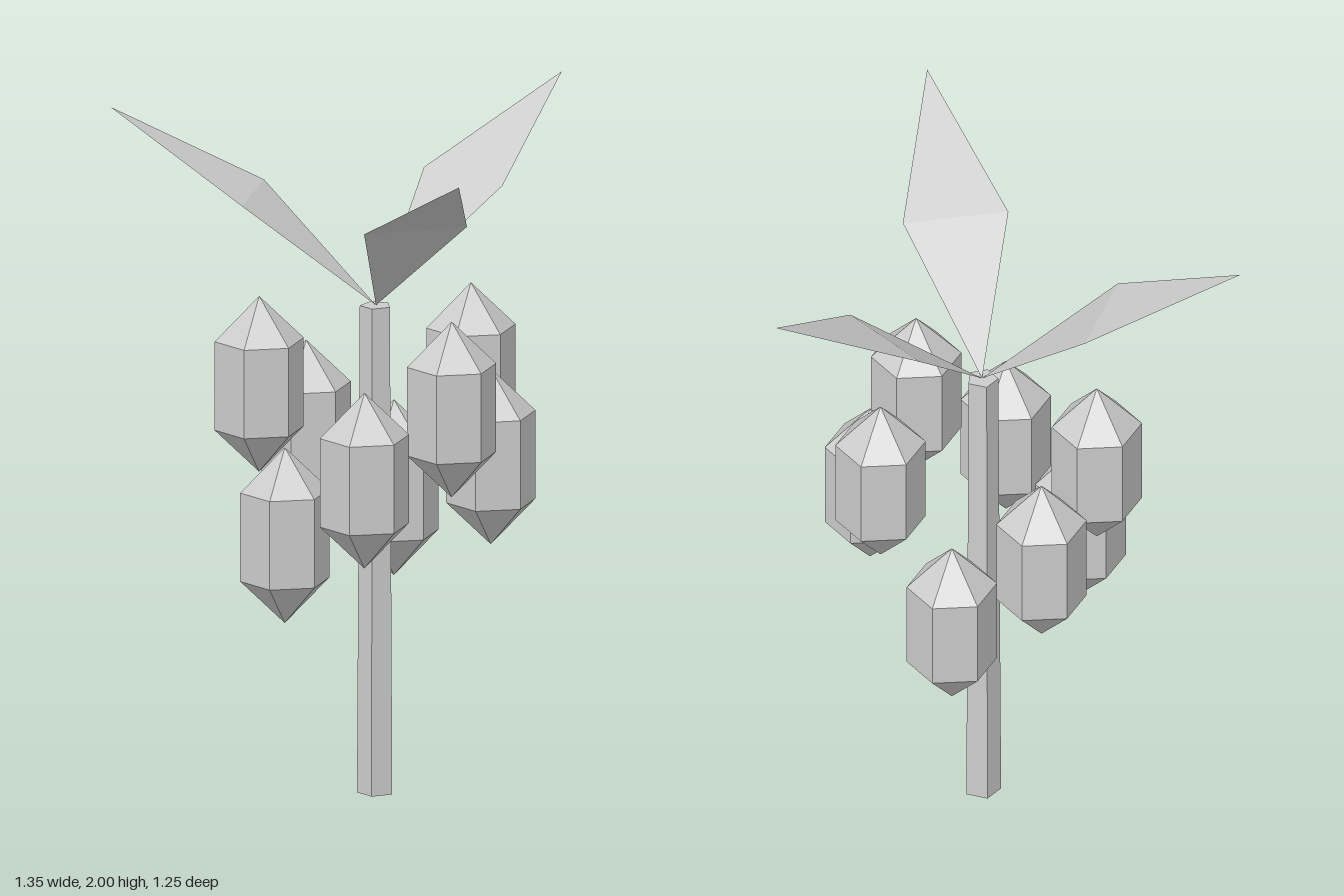
import * as THREE from 'three';

export function createModel() {
  const model = new THREE.Group();
  const grey = new THREE.MeshStandardMaterial({ color: 0xcccccc, flatShading: true, side: THREE.DoubleSide });
  grey.name = 'light grey';

  const add = (name, geometry, x = 0, y = 0, z = 0) => {
    const mesh = new THREE.Mesh(geometry, grey);
    mesh.name = name;
    mesh.position.set(x, y, z);
    model.add(mesh);
  };

  const stemX = -0.048, stemZ = 0.155, stemTop = 1.453;

  // Five-sided, slightly tapered stem with a corner towards the back
  const stem = new THREE.CylinderGeometry(0.047, 0.055, stemTop, 5).rotateY(Math.PI);
  add('stem', stem, stemX, stemTop / 2, stemZ);

  // Six-sided berries, pointed at both ends, hanging in three tiers
  const profile = [[0, -0.262], [0.131, -0.132], [0.131, 0.132], [0, 0.262]]
    .map(([r, y]) => new THREE.Vector2(r, y));
  const berry = new THREE.LatheGeometry(profile, 6, Math.PI / 6);
  const tiers = [
    { y: 0.822, spots: [[-0.058, 0.493], [-0.27, -0.103]] },
    { y: 1.017, spots: [[0.186, 0.399], [0.212, -0.059], [-0.385, 0.132]] },
    { y: 1.208, spots: [[0.287, 0.154], [-0.297, 0.386], [-0.018, -0.18]] },
  ];
  for (const { y, spots } of tiers) {
    for (const [x, z] of spots) add('berry', berry, x, y, z);
  }

  // Kite-shaped leaves, creased across their widest line: two side corners, then the tip
  const makeLeaf = ([ax, az], [bx, bz], [tx, tz]) => {
    const leaf = new THREE.BufferGeometry();
    leaf.setAttribute('position', new THREE.Float32BufferAttribute([
      stemX, stemTop, stemZ, ax, 1.767, az, bx, 1.767, bz, tx, 2, tz,
    ], 3));
    leaf.setIndex([0, 1, 2, 1, 3, 2]);
    const flat = leaf.toNonIndexed();
    flat.computeVertexNormals();
    return flat;
  };
  add('backLeaf', makeLeaf([0.065, -0.229], [-0.244, -0.195], [-0.138, -0.628]));
  add('leftLeaf', makeLeaf([0.229, 0.437], [0.355, 0.154], [0.676, 0.459]));
  add('rightLeaf', makeLeaf([-0.437, 0.248], [-0.244, 0.496], [-0.678, 0.626]));

  return model;
}
